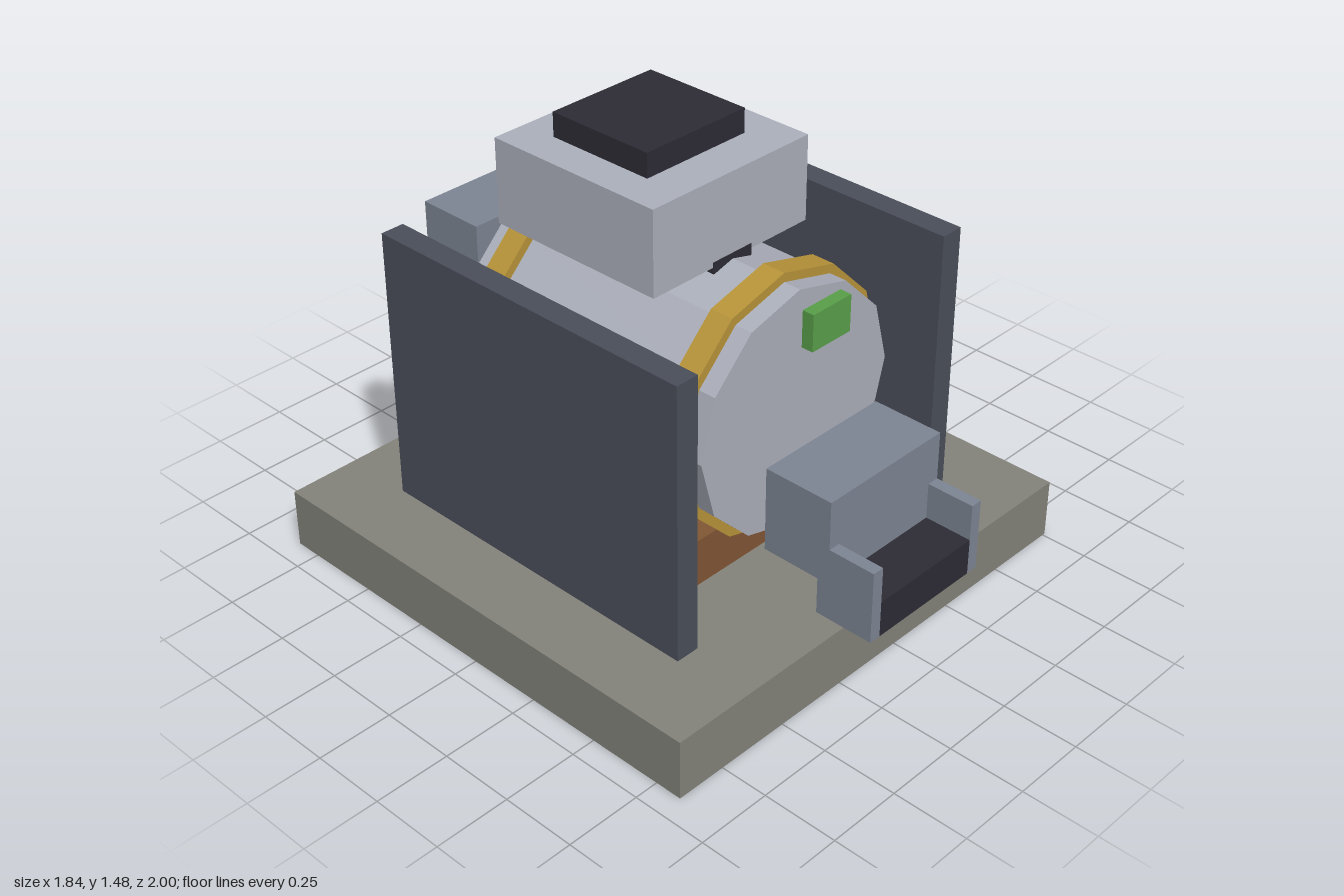
import * as THREE from 'three';

const mat = (name, color) => {
  const m = new THREE.MeshStandardMaterial({ color, flatShading: true });
  m.name = name;
  return m;
};

export function createModel() {
  const stone = mat('stone grey', 0x84847c);
  const slate = mat('dark slate', 0x4b4f5b);
  const silver = mat('pale silver', 0xadb1bc);
  const gold = mat('gold', 0xb9953a);
  const brown = mat('brown', 0x825735);
  const steel = mat('blue steel', 0x7e8694);
  const black = mat('near black', 0x2d2c35);
  const green = mat('green', 0x5aa04a);

  const model = new THREE.Group();
  model.name = 'drumMachine';
  const cx = -0.08; // centre line of the drum and base

  const add = (name, geometry, material) => {
    const mesh = new THREE.Mesh(geometry, material);
    mesh.name = name;
    model.add(mesh);
    return mesh;
  };
  // Box given by its extents along each axis
  const box = (name, material, [x0, x1], [y0, y1], [z0, z1]) =>
    add(name, new THREE.BoxGeometry(x1 - x0, y1 - y0, z1 - z0), material)
      .position.set((x0 + x1) / 2, (y0 + y1) / 2, (z0 + z1) / 2);
  // Faceted cylinder along z, on the drum axis
  const drumDisc = (name, material, r, z0, z1) =>
    add(name, new THREE.CylinderGeometry(r, r, z1 - z0, 12).rotateX(Math.PI / 2), material)
      .position.set(cx, 0.72, (z0 + z1) / 2);
  // Octagonal cylinder along x, for the knob
  const knobDisc = (name, r, x0, x1) =>
    add(name, new THREE.CylinderGeometry(r, r, x1 - x0, 8).rotateZ(-Math.PI / 2), green)
      .position.set((x0 + x1) / 2, 0.68, 0);

  // Base and cradle
  box('base', stone, [-0.92, 0.76], [0, 0.2], [-0.84, 0.84]);
  box('cradle', brown, [-0.52, 0.36], [0.2, 0.36], [-0.4, 0.4]);

  // Drum with two bands
  drumDisc('drum', silver, 0.4, -0.5, 0.5);
  drumDisc('frontBand', gold, 0.43, 0.36, 0.44);
  drumDisc('backBand', gold, 0.43, -0.44, -0.36);

  // Dark ports on the drum's sides and top
  for (const s of [-1, 1]) {
    const x = cx + s * 0.395;
    box('sidePort', black, [x - 0.008, x + 0.008], [0.64, 0.8], [-0.08, 0.08]);
  }
  box('topPort', black, [-0.16, 0], [1.1, 1.137], [-0.08, 0.243]);

  // Side plates
  box('rightPlate', slate, [-0.68, -0.6], [0.2, 1.12], [-0.6, 0.6]);
  box('leftPlate', slate, [0.44, 0.52], [0.2, 1.12], [-0.6, 0.6]);

  // Hopper and lid
  box('hopper', silver, [-0.4, 0.24], [1.12, 1.4], [-0.4, 0.24]);
  box('lid', black, [-0.28, 0.12], [1.4, 1.48], [-0.28, 0.1]);

  // Chutes, each with a tray between two rails
  const chute = (side, y, z, trayZ) => {
    box(side + 'Chute', steel, [-0.32, 0.16], y, z);
    box(side + 'Tray', black, [-0.28, 0.12], [0.28, 0.4], trayZ);
    box(side + 'RightRail', steel, [-0.32, -0.28], [0.28, 0.52], trayZ);
    box(side + 'LeftRail', steel, [0.12, 0.16], [0.28, 0.52], trayZ);
  };
  chute('front', [0.4, 0.68], [0.6, 0.84], [0.8, 1]);
  chute('back', [0.68, 1], [-0.84, -0.6], [-1, -0.76]);

  // Indicator
  box('indicator', green, [-0.16, 0], [1, 1.12], [0.58, 0.62]);

  // Knob on its mount
  box('knobMount', slate, [0.52, 0.72], [0.52, 0.84], [-0.2, 0.2]);
  knobDisc('knobStem', 0.11, 0.72, 0.84);
  knobDisc('knobHead', 0.16, 0.84, 0.92);

  return model;
}
